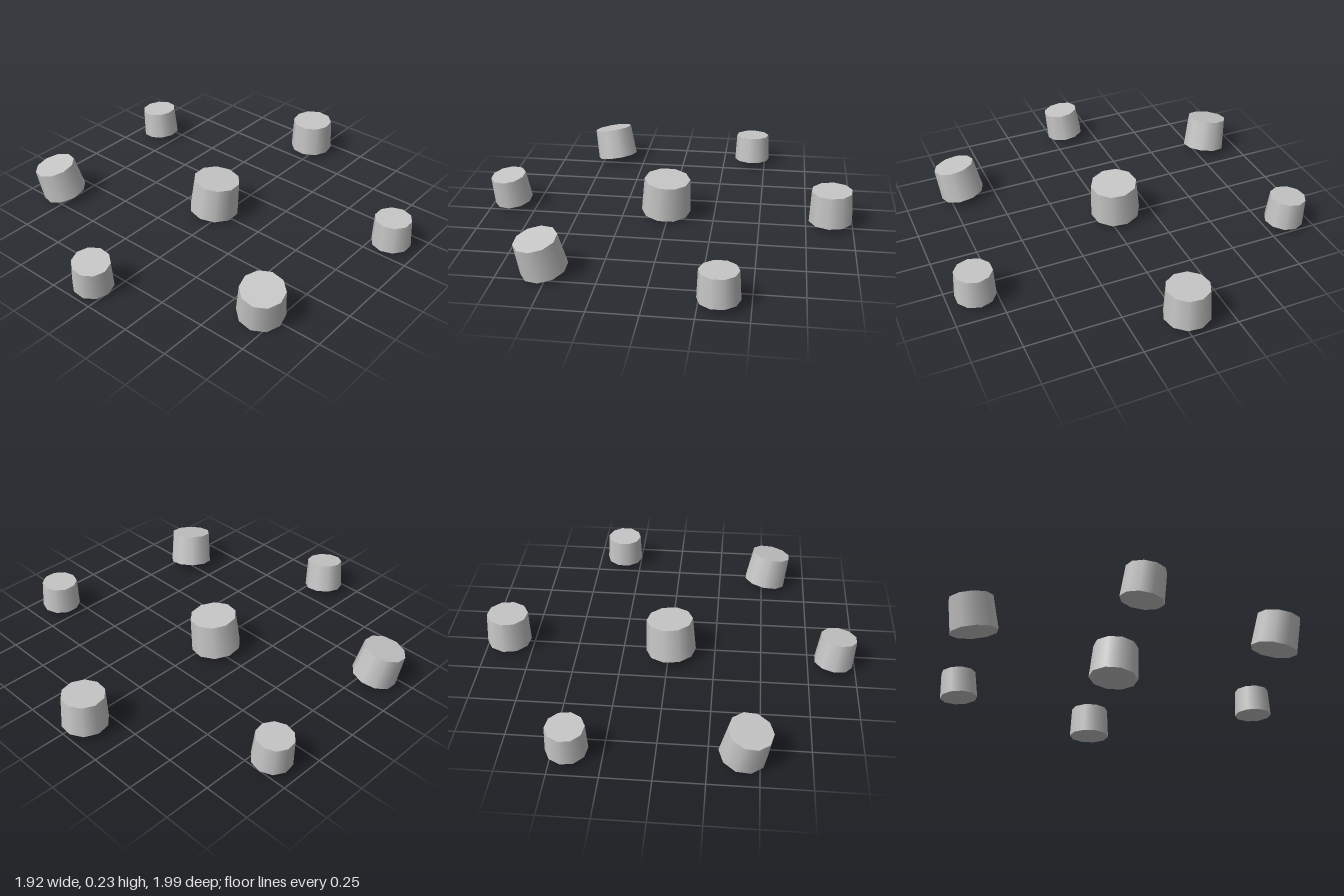
import * as THREE from 'three';

// Each stump: name, bottom centre, top centre, bottom radius, turn about its own axis
const STUMPS = [
  ['centreStump', [-0.048, 0.032, 0.013], [-0.033, 0.224, 0.004], 0.134, 0.1],
  ['backStump', [-0.031, 0.032, -0.881], [-0.03, 0.205, -0.878], 0.119, 0.2],
  ['backLeftStump', [0.858, 0.033, -0.347], [0.857, 0.183, -0.345], 0.104, 0],
  ['backRightStump', [-0.852, 0.034, -0.423], [-0.864, 0.184, -0.422], 0.104, 0.15],
  ['frontRightStump', [-0.81, 0.031, 0.418], [-0.838, 0.2, 0.448], 0.12, 0.05],
  ['frontLeftStump', [0.675, 0.03, 0.518], [0.703, 0.2, 0.548], 0.12, 0.25],
  ['frontStump', [-0.084, 0.03, 0.884], [-0.066, 0.184, 0.902], 0.105, 0.3],
];
const TAPER = 0.925;
const SIDES = 10;

export function createModel() {
  const group = new THREE.Group();
  const lightGrey = new THREE.MeshStandardMaterial({ color: 0xc6c6c6 });
  lightGrey.name = 'lightGrey';
  const up = new THREE.Vector3(0, 1, 0);

  // Short tapered stumps, each leaning along the line between its end centres
  for (const [name, low, high, radius, turn] of STUMPS) {
    const bottom = new THREE.Vector3(...low);
    const top = new THREE.Vector3(...high);
    const axis = top.clone().sub(bottom);
    const geometry = new THREE.CylinderGeometry(radius * TAPER, radius, axis.length(), SIDES);
    geometry.rotateY(turn);
    const stump = new THREE.Mesh(geometry, lightGrey);
    stump.name = name;
    stump.position.copy(bottom).add(top).multiplyScalar(0.5);
    stump.quaternion.setFromUnitVectors(up, axis.normalize());
    group.add(stump);
  }
  return group;
}
